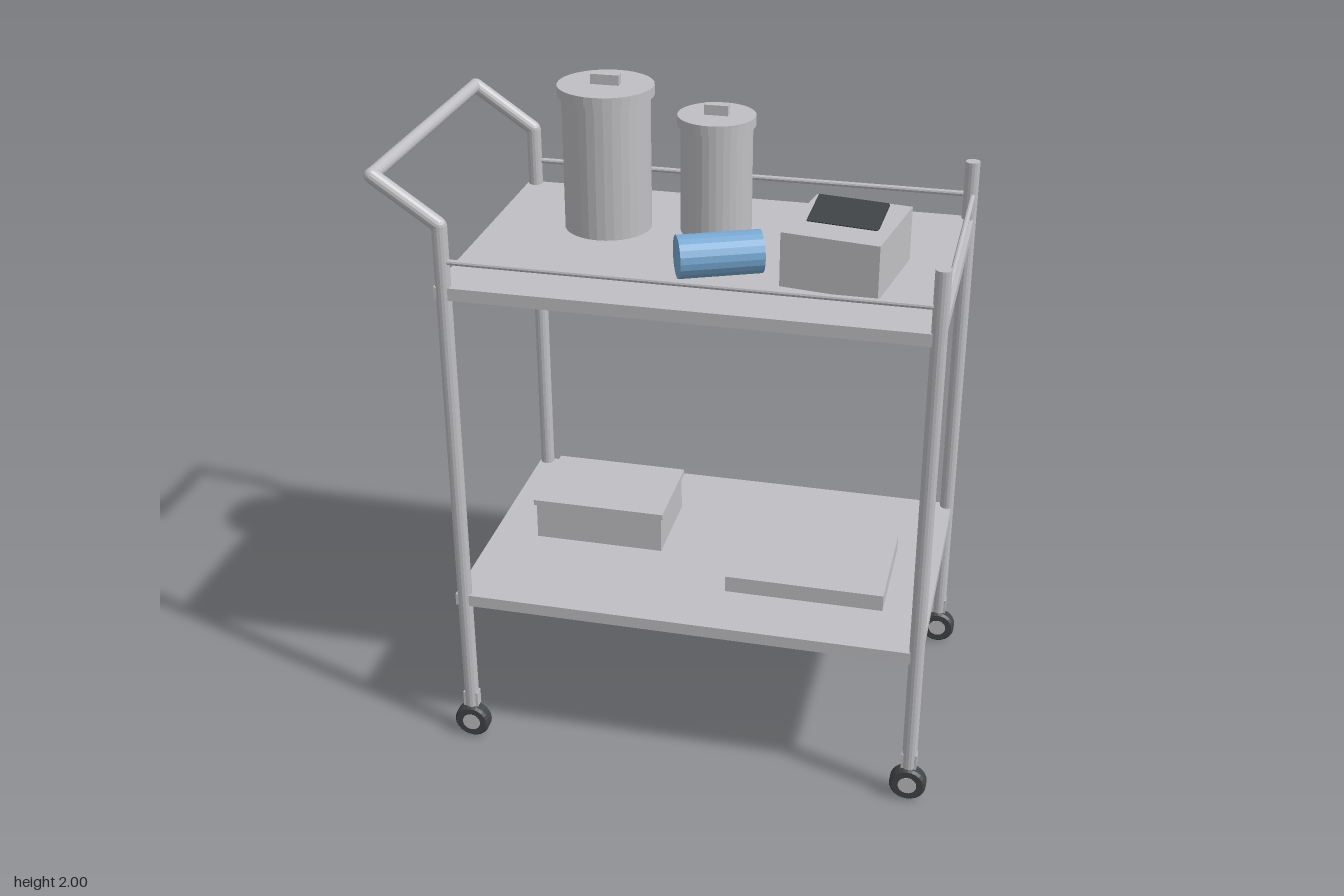
import * as THREE from 'three';

const mat = (name, color) => {
  const m = new THREE.MeshStandardMaterial({ color });
  m.name = name;
  return m;
};

export function createModel() {
  const metal = mat('light grey metal', 0xc0c0c4);
  const dark = mat('dark rubber', 0x414446);
  const blue = mat('blue', 0x78aad4);
  for (const m of [metal, dark, blue]) m.flatShading = true;

  const root = new THREE.Group();
  root.name = 'servingTrolley';

  const add = (name, geo, material, x = 0, y = 0, z = 0, parent = root) => {
    const mesh = new THREE.Mesh(geo, material);
    mesh.name = name;
    mesh.position.set(x, y, z);
    parent.add(mesh);
    return mesh;
  };
  const box = (name, w, h, d, m, x, y, z, parent) =>
    add(name, new THREE.BoxGeometry(w, h, d), m, x, y, z, parent);
  const cyl = (name, r, h, m, x, y, z, parent, sides = 24) =>
    add(name, new THREE.CylinderGeometry(r, r, h, sides), m, x, y, z, parent);
  // Round bar between two points
  const bar = (name, a, b, r, sides = 16) => {
    const p = new THREE.Vector3(...a), q = new THREE.Vector3(...b);
    const mid = p.clone().add(q).multiplyScalar(0.5);
    const mesh = cyl(name, r, p.distanceTo(q), metal, mid.x, mid.y, mid.z, root, sides);
    mesh.quaternion.setFromUnitVectors(new THREE.Vector3(0, 1, 0), q.sub(p).normalize());
    return mesh;
  };

  const left = -0.61, right = 0.76, side = 0.425, postTop = 1.715;
  const gripX = -0.795, gripY = 1.842;

  // Shelves
  box('lowerShelf', 1.41, 0.037, 0.88, metal, 0.07, 0.508, 0);
  box('upperShelf', 1.41, 0.037, 0.88, metal, 0.07, 1.517, 0);

  // Posts and castors
  const tyre = new THREE.LatheGeometry([
    [0.02, -0.022], [0.048, -0.022], [0.055, -0.014],
    [0.055, 0.014], [0.048, 0.022], [0.02, 0.022],
  ].map(([x, y]) => new THREE.Vector2(x, y)), 24);
  for (const x of [left, right]) {
    for (const z of [-side, side]) {
      bar('post', [x, 0.115, z], [x, postTop, z], 0.022);
      const castor = new THREE.Group();
      castor.name = 'castor';
      castor.position.set(x, 0.057, z);
      root.add(castor);
      box('castorMount', 0.046, 0.05, 0.03, metal, 0, 0.082, 0, castor);
      add('tyre', tyre, dark, 0, 0, 0, castor).rotation.x = Math.PI / 2;
      cyl('hub', 0.028, 0.046, metal, 0, 0, 0, castor).rotation.x = Math.PI / 2;
    }
  }

  // Push handle
  const ball = new THREE.SphereGeometry(0.021, 16, 10);
  for (const z of [-side, side]) {
    bar('handleArm', [left, postTop, z], [gripX, gripY, z], 0.022);
    add('handleElbow', ball, metal, left, postTop, z);
    add('handleCorner', ball, metal, gripX, gripY, z);
  }
  bar('handleGrip', [gripX, gripY, -side], [gripX, gripY, side], 0.02);

  // Guard rails around three sides of the upper shelf
  for (const z of [-0.43, 0.43]) bar('sideRail', [left, 1.61, z], [right, 1.61, z], 0.008, 10);
  bar('endRail', [0.767, 1.61, -side], [0.767, 1.61, side], 0.008, 10);

  // Lidded canisters
  const canister = (x, z, r, lidR, lidTop, knobW) => {
    const g = new THREE.Group();
    g.name = 'canister';
    g.position.set(x, 0, z);
    root.add(g);
    const h = lidTop - 0.03 - 1.535;
    cyl('canisterBody', r, h, metal, 0, 1.535 + h / 2, 0, g, 32);
    cyl('canisterLid', lidR, 0.03, metal, 0, lidTop - 0.015, 0, g, 32);
    box('canisterKnob', knobW, 0.03, 0.026, metal, 0, lidTop + 0.015, 0, g);
  };
  canister(-0.287, -0.125, 0.13, 0.142, 1.97, 0.085);
  canister(0.034, -0.163, 0.106, 0.115, 1.89, 0.07);

  // Blue roll lying on its side
  const roll = cyl('blueRoll', 0.062, 0.24, blue, 0.116, 1.598, 0.176, root, 20);
  roll.rotation.set(0, 0.41, Math.PI / 2, 'YXZ');

  // Turned box with a tilted dark panel
  const device = new THREE.Group();
  device.name = 'device';
  device.position.set(0.46, 1.535, 0.08);
  device.rotation.y = -0.153;
  root.add(device);
  box('deviceBody', 0.283, 0.16, 0.322, metal, 0, 0.08, 0, device);
  box('devicePanel', 0.205, 0.01, 0.117, dark, 0, 0.178, 0, device).rotation.x = 0.35;

  // Boxes on the lower shelf
  box('storageBox', 0.405, 0.12, 0.28, metal, -0.29, 0.586, -0.079);
  box('storageBoxLid', 0.418, 0.018, 0.298, metal, -0.29, 0.654, -0.079);
  box('flatBox', 0.48, 0.052, 0.356, metal, 0.396, 0.552, 0.062);

  return root;
}
